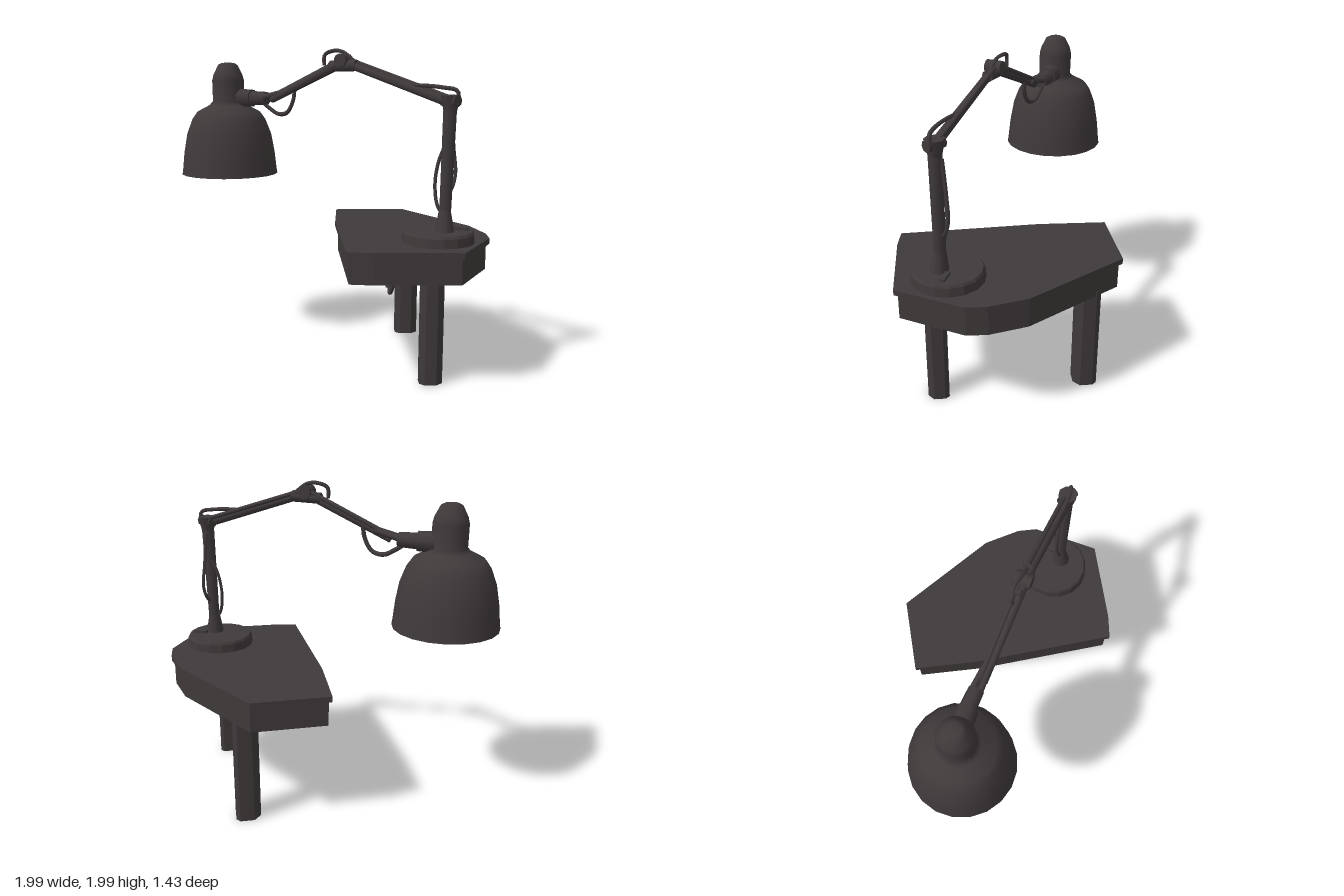
import * as THREE from 'three';

export function createModel() {
  const model = new THREE.Group();
  const metal = new THREE.MeshStandardMaterial({ color: 0x3f393a, side: THREE.DoubleSide });
  metal.name = 'dark warm grey';
  const V = (p) => new THREE.Vector3(...p);

  function add(name, geo, parent = model) {
    const m = new THREE.Mesh(geo, metal);
    m.name = name;
    parent.add(m);
    return m;
  }
  // Tapered rod from a (radius ra) to b (radius rb)
  function rod(name, a, b, ra, rb = ra, sides = 8) {
    const p = V(a), d = V(b).sub(p);
    const m = add(name, new THREE.CylinderGeometry(rb, ra, d.length(), sides));
    m.position.copy(p).addScaledVector(d, 0.5);
    m.quaternion.setFromUnitVectors(new THREE.Vector3(0, 1, 0), d.normalize());
    return m;
  }
  function cable(name, pts, r, closed = false) {
    const curve = new THREE.CatmullRomCurve3(pts.map(V), closed);
    return add(name, new THREE.TubeGeometry(curve, pts.length * 4, r, 6, closed));
  }
  // Upright prism from an outline of [x, z] points
  function slab(name, pts, y0, y1, hole) {
    const to2 = (p) => new THREE.Vector2(p[0], -p[1]);
    const shape = new THREE.Shape(pts.map(to2));
    if (hole) shape.holes.push(new THREE.Path(hole.map(to2)));
    const g = new THREE.ExtrudeGeometry(shape, { depth: y1 - y0, bevelEnabled: false });
    g.rotateX(-Math.PI / 2);
    g.translate(0, y0, 0);
    return add(name, g);
  }

  // Table: thin top, inset apron with a recess underneath
  const outline = [[0.07, -0.635], [0.55, -0.645], [0.93, -0.04], [0.99, 0.2], [0.985, 0.33],
    [0.77, 0.71], [0.25, 0.705], [0.1, 0.685], [0.055, -0.2]];
  const inset = (kx, kz) => outline.map(([x, z]) => [0.53 + (x - 0.53) * kx, 0.03 + (z - 0.03) * kz]);
  slab('tableTop', outline, 0.83, 0.865);
  slab('apron', inset(0.96, 0.965), 0.67, 0.83, [[0.17, 0.1], [0.5, 0.1], [0.55, 0.6], [0.2, 0.6]]);

  // Two chamfered legs
  const leg = [[-0.07, -0.02], [-0.03, -0.065], [0.05, -0.065], [0.07, -0.04],
    [0.07, 0.03], [0.03, 0.065], [-0.04, 0.065], [-0.07, 0.04]];
  slab('frontLeg', leg.map(([x, z]) => [x + 0.62, z + 0.485]), 0.01, 0.7);
  slab('backLeg', leg.map(([x, z]) => [x * 1.1 + 0.567, z * 1.12 - 0.435]), 0.01, 0.7);

  // Hardware below the table
  cable('clampHoop', [[0.31, 0.66, 0.3], [0.34, 0.63, 0.22], [0.5, 0.63, 0.21], [0.68, 0.64, 0.24],
    [0.78, 0.65, 0.34], [0.76, 0.64, 0.42]], 0.016);
  rod('hook', [0.31, 0.59, 0.35], [0.31, 0.69, 0.35], 0.008, 0.014);
  rod('clampScrew', [0.39, 0.57, 0.27], [0.39, 0.7, 0.27], 0.016);
  rod('screwFoot', [0.4, 0.55, 0.27], [0.39, 0.59, 0.27], 0.042, 0.014);
  rod('clampPin', [0.73, 0.61, 0.25], [0.73, 0.69, 0.25], 0.014);
  cable('clampLoop', [[0.4, 0.66, 0.42], [0.39, 0.57, 0.41], [0.38, 0.53, 0.36], [0.38, 0.57, 0.32],
    [0.39, 0.66, 0.31]], 0.012);

  // Round lamp base with a flared socket and switch
  const base = add('lampBase', new THREE.LatheGeometry(
    [[0.22, 0], [0.215, 0.055], [0.205, 0.07], [0, 0.072]].map((p) => new THREE.Vector2(...p)), 16));
  base.geometry = base.geometry.toNonIndexed();
  base.geometry.computeVertexNormals();
  base.position.set(0.66, 0.863, 0.4);
  rod('postFlare', [0.69, 0.92, 0.45], [0.69, 1.06, 0.44], 0.06, 0.035);
  const clip = add('baseSwitch', new THREE.BoxGeometry(0.09, 0.018, 0.03));
  clip.position.set(0.79, 0.945, 0.42);
  clip.rotation.y = -0.4;

  // Upright post and shoulder joint
  rod('post', [0.69, 0.93, 0.44], [0.705, 1.7, 0.445], 0.034, 0.04);
  rod('shoulder', [0.705, 1.62, 0.445], [0.705, 1.73, 0.445], 0.035, 0.058);
  rod('shoulderPin', [0.67, 1.7, 0.4], [0.74, 1.7, 0.49], 0.035);
  cable('postCableLeft', [[0.69, 1.45, 0.41], [0.65, 1.33, 0.395], [0.635, 1.2, 0.395],
    [0.65, 1.08, 0.42], [0.69, 1.02, 0.44]], 0.011);
  cable('postCableRight', [[0.72, 1.62, 0.41], [0.74, 1.42, 0.395], [0.755, 1.27, 0.39],
    [0.73, 1.18, 0.41], [0.7, 1.15, 0.43]], 0.011);

  // Two arms, each a pair of rods meeting at the elbow
  const shoulder = [0.7, 1.7, 0.44], elbow = [0.1, 1.93, 0.08], wrist = [-0.36, 1.69, -0.22];
  const shift = (p, s, dy) => [p[0] - 0.52 * s, p[1] + dy, p[2] + 0.85 * s];
  [[shoulder, elbow, 'lowerArm'], [elbow, wrist, 'upperArm']].forEach(([a, b, name]) => {
    rod(name + 'Main', shift(a, 0.008, -0.01), shift(b, 0.008, -0.01), 0.03, 0.024);
    rod(name + 'Rod', shift(a, -0.014, 0.016), shift(b, -0.014, 0.016), 0.014);
  });
  rod('elbowPin', shift(elbow, 0.05, 0), shift(elbow, -0.05, 0), 0.042, 0.042, 10);
  rod('elbowSleeve', [0.18, 1.9, 0.13], [0.02, 1.895, 0.03], 0.036, 0.034);

  // Slack cables at the joints
  cable('shoulderCable', [[0.47, 1.78, 0.31], [0.52, 1.785, 0.35], [0.66, 1.775, 0.44],
    [0.74, 1.755, 0.47], [0.745, 1.69, 0.46]], 0.012);
  cable('elbowCable', [[0.16, 1.93, 0.11], [0.1, 1.98, 0.07], [0.04, 1.99, 0.02],
    [-0.015, 1.965, 0.0], [-0.02, 1.9, 0.0]], 0.012);
  cable('wristCable', [[-0.21, 1.76, -0.13], [-0.22, 1.68, -0.13], [-0.26, 1.6, -0.16],
    [-0.32, 1.585, -0.21], [-0.38, 1.62, -0.25], [-0.43, 1.66, -0.28]], 0.014);

  // Wrist fork and shade mount
  [-0.026, 0.026].forEach((s) => rod('wristFork', shift([-0.28, 1.73, -0.17], s * 0.5, 0),
    shift([-0.44, 1.685, -0.28], s, 0), 0.018));
  rod('wristJoint', [-0.4, 1.685, -0.255], [-0.52, 1.685, -0.33], 0.045, 0.05);
  rod('shadeMount', [-0.5, 1.685, -0.315], [-0.66, 1.685, -0.4], 0.06, 0.068);

  // Open bell shade with a domed cap
  const bell = [[0.328, 1.17], [0.322, 1.21], [0.31, 1.32], [0.288, 1.44], [0.25, 1.54], [0.215, 1.59],
    [0.13, 1.635], [0.106, 1.66], [0.108, 1.8], [0.098, 1.84], [0.065, 1.905], [0.04, 1.918], [0, 1.92]];
  const shade = add('lampShade', new THREE.LatheGeometry(bell.map((p) => new THREE.Vector2(...p)), 20));
  shade.position.set(-0.672, 0, -0.397);

  return model;
}
